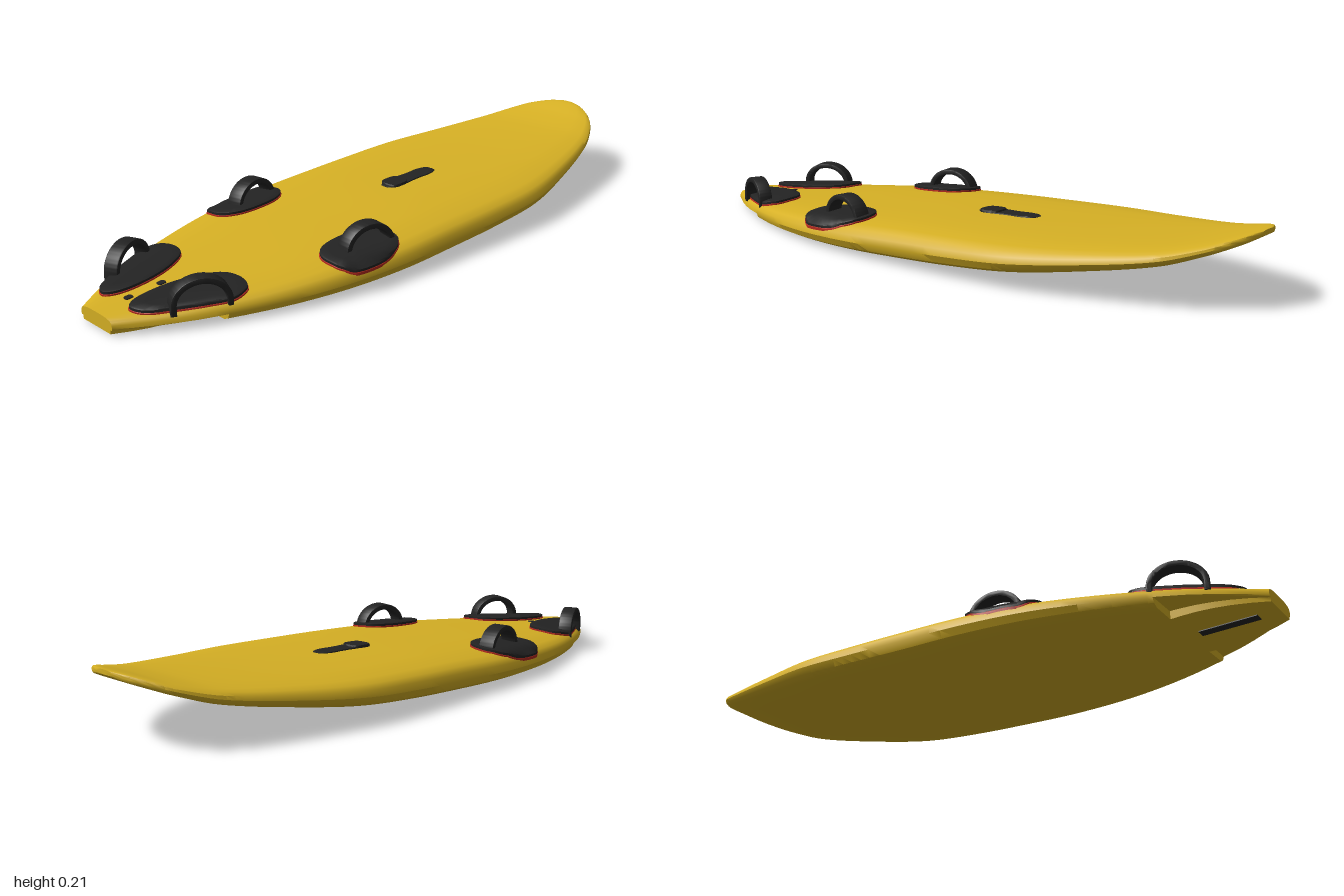
import * as THREE from 'three';
import { toCreasedNormals } from 'three/addons/utils/BufferGeometryUtils.js';

const material = (name, color, extra = {}) => {
  const m = new THREE.MeshStandardMaterial({ color, ...extra });
  m.name = name;
  return m;
};

// Hull stations from nose to tail: z, half width, bottom y, deck y
const STATIONS = [
  [-1, 0.03, 0.195, 0.208], [-0.985, 0.075, 0.184, 0.206], [-0.95, 0.13, 0.168, 0.196],
  [-0.9, 0.175, 0.148, 0.181], [-0.8, 0.228, 0.115, 0.161], [-0.6, 0.293, 0.078, 0.143],
  [-0.4, 0.342, 0.049, 0.132], [-0.2, 0.352, 0.031, 0.124], [0, 0.352, 0.019, 0.116],
  [0.2, 0.35, 0.011, 0.104], [0.4, 0.327, 0.006, 0.091], [0.6, 0.275, 0.003, 0.075],
  [0.8, 0.196, 0.003, 0.06], [0.9, 0.14, 0.003, 0.052], [1, 0.072, 0.003, 0.045],
];
// Half section from rail to deck centre: fraction of half width, fraction of height
const RAIL = [[0.9, 0.02], [0.97, 0.15], [1, 0.38], [0.988, 0.6], [0.945, 0.77],
  [0.86, 0.88], [0.6, 0.97], [0.3, 0.995], [0, 1]];
const CUT = 0.74; // where the tail cutouts begin

// Smooth interpolation between stations
function station(z) {
  const n = STATIONS.length;
  let i = 0;
  while (i < n - 2 && z > STATIONS[i + 1][0]) i++;
  const p = STATIONS[i], q = STATIONS[i + 1];
  const d = q[0] - p[0], u = (z - p[0]) / d;
  const slope = (k, c) => {
    const a = STATIONS[Math.max(k - 1, 0)], b = STATIONS[Math.min(k + 1, n - 1)];
    return (b[c] - a[c]) / (b[0] - a[0]);
  };
  const [w, b, t] = [1, 2, 3].map((c) =>
    p[c] * (2 * u ** 3 - 3 * u * u + 1) + q[c] * (3 * u * u - 2 * u ** 3) +
    d * (slope(i, c) * (u ** 3 - 2 * u * u + u) + slope(i + 1, c) * (u ** 3 - u * u)));
  return { w, b, t };
}

// Height of the deck at a point
function deckY(x, z) {
  const { w, b, t } = station(z);
  const u = Math.min(Math.abs(x) / w, 0.985);
  let i = 3;
  while (i < RAIL.length - 2 && u < RAIL[i + 1][0]) i++;
  const [p, q] = [RAIL[i], RAIL[i + 1]];
  const f = p[1] + (q[1] - p[1]) * (u - p[0]) / (q[0] - p[0]);
  return b + (t - b) * f;
}

function section(z) {
  const { w, b, t } = station(z);
  const k = Math.max(0, (z - CUT) / (1 - CUT));
  const step = z > CUT ? 0.38 - 0.1 * k : 0;
  const strip = 0.55 + 0.33 * k;
  const half = [[0, 0], [strip, 0], [strip + 0.01, step],
    ...RAIL.map(([x, y]) => [x, Math.max(y, step)])];
  const left = half.slice(1, -1).reverse().map(([x, y]) => [-x, y]);
  return [...half, ...left].map(([x, y]) => [x * w, b + (t - b) * y, z]);
}

function geometryFrom(pos, idx, crease) {
  const g = new THREE.BufferGeometry();
  g.setAttribute('position', new THREE.Float32BufferAttribute(pos.flat(), 3));
  g.setIndex(idx);
  return toCreasedNormals(g, crease);
}

function hullGeometry() {
  const zs = [CUT - 0.0005, CUT + 0.0005];
  for (let i = 0; i <= 64; i++) zs.push(-1 + 2 * (i / 64) ** 1.5);
  zs.sort((a, b) => a - b);
  const rings = zs.map(section), n = rings[0].length, last = rings.length - 1;
  const pos = rings.flat(), idx = [];
  for (let i = 0; i < last; i++) for (let j = 0; j < n; j++) {
    const a = i * n + j, b = i * n + (j + 1) % n;
    idx.push(a, b, b + n, a, b + n, a + n);
  }
  // nose and tail caps
  for (const [i, flip] of [[0, true], [last, false]]) {
    const { b, t } = station(zs[i]);
    const c = pos.push([0, (b + t) / 2, zs[i]]) - 1;
    for (let j = 0; j < n; j++) {
      const p = i * n + j, q = i * n + (j + 1) % n;
      idx.push(c, flip ? q : p, flip ? p : q);
    }
  }
  return geometryFrom(pos, idx, 0.65);
}

// A layer that follows the deck; outline is a closed list of [x, z]
function padGeometry(outline, low, high, scale = 1) {
  const cx = outline.reduce((s, p) => s + p[0], 0) / outline.length;
  const cz = outline.reduce((s, p) => s + p[1], 0) / outline.length;
  const rings = [[1, low], [1, high - 0.002], [0.96, high], [0.75, high], [0.5, high], [0.25, high], [0.001, high]];
  const n = outline.length, pos = [], idx = [];
  for (const [s, h] of rings) for (const [px, pz] of outline) {
    const x = cx + (px - cx) * s * scale, z = cz + (pz - cz) * s * scale;
    pos.push([x, deckY(x, z) + h, z]);
  }
  for (let i = 0; i < rings.length - 1; i++) for (let j = 0; j < n; j++) {
    const a = i * n + j, b = i * n + (j + 1) % n;
    idx.push(a, a + n, b + n, a, b + n, b);
  }
  return geometryFrom(pos, idx, 0.7);
}

const superEllipse = (x, z, rx, rz, e, n = 48) => Array.from({ length: n }, (_, i) => {
  const a = (i / n) * Math.PI * 2, c = Math.cos(a), s = Math.sin(a);
  return [x + rx * Math.sign(c) * Math.abs(c) ** e, z + rz * Math.sign(s) * Math.abs(s) ** e];
});

const smoothLoop = (pts, n = 56) =>
  new THREE.CatmullRomCurve3(pts.map(([x, z]) => new THREE.Vector3(x, 0, z)), true)
    .getPoints(n).slice(0, n).map((p) => [p.x, p.z]);

// Arched foot strap with legs running down into the pad
function strapGeometry(radius, height, width) {
  const th = 0.017, bevel = 0.004, r = radius - bevel, h = height - bevel;
  const ri = radius - th + bevel, hi = height - th + bevel, leg = -0.022;
  const s = new THREE.Shape();
  s.moveTo(r, leg);
  s.lineTo(r, 0);
  s.absellipse(0, 0, r, h, 0, Math.PI, false);
  s.lineTo(-r, leg);
  s.lineTo(-ri, leg);
  s.lineTo(-ri, 0);
  s.absellipse(0, 0, ri, hi, Math.PI, 0, true);
  s.lineTo(ri, leg);
  const depth = width - 2 * bevel;
  const g = new THREE.ExtrudeGeometry(s, { depth, curveSegments: 20,
    bevelThickness: bevel, bevelSize: bevel, bevelSegments: 2 });
  return toCreasedNormals(g.translate(0, 0, -depth / 2), 0.6);
}

export function createModel() {
  const root = new THREE.Group();
  root.name = 'sailboard';
  const yellow = material('board yellow', 0xd6b024);
  const black = material('rubber black', 0x232323);
  const red = material('pad edge red', 0xb52a1e);
  const add = (name, geometry, mat, parent = root) => {
    const m = new THREE.Mesh(geometry, mat);
    m.name = name;
    parent.add(m);
    return m;
  };

  add('hull', hullGeometry(), yellow);

  // Foot pads and straps, mirrored left and right
  const stands = [
    { name: 'middle', outline: superEllipse(0.257, 0.302, 0.082, 0.124, 0.8),
      strap: [0.083, 0.073, 0.05], at: [0.256, 0.092, 0.273], slant: 0.16 },
    { name: 'rear', outline: smoothLoop([[0.1, 0.655], [0.16, 0.643], [0.205, 0.66], [0.217, 0.71],
      [0.19, 0.78], [0.147, 0.86], [0.102, 0.925], [0.06, 0.94], [0.036, 0.91], [0.03, 0.82], [0.055, 0.72]]),
      strap: [0.084, 0.071, 0.045], at: [0.168, 0.064, 0.79], slant: 0.4 },
  ];
  for (const { name, outline, strap, at, slant } of stands) for (const s of [1, -1]) {
    const g = new THREE.Group();
    g.name = `${name}${s > 0 ? 'Left' : 'Right'}FootStand`;
    root.add(g);
    const shape = s > 0 ? outline : outline.map(([x, z]) => [-x, z]).reverse();
    add('padEdge', padGeometry(shape, -0.004, 0.006), red, g);
    add('pad', padGeometry(shape, 0.005, 0.014, 0.985), black, g);
    const band = add('footStrap', strapGeometry(...strap), black, g);
    band.position.set(at[0] * s, at[1], at[2]);
    band.rotation.y = -(Math.PI / 2 + s * slant);
  }

  // Mast track with its raised base plate
  const track = superEllipse(0, -0.163, 0.032, 0.108, 0.6)
    .map(([x, z]) => [x * (1 - 0.15 * Math.exp(-(((z + 0.18) / 0.03) ** 2))), z]);
  add('mastTrack', padGeometry(track, -0.003, 0.003), black);
  add('mastBase', padGeometry(superEllipse(0, -0.1, 0.034, 0.036, 0.6), 0, 0.008), black);

  // Deck plugs
  for (const z of [0.795, 0.9])
    add('deckPlug', padGeometry(superEllipse(0, z, 0.01, 0.012, 0.5, 24), -0.002, 0.003), black);

  // Fin slot under the tail
  add('finSlot', new THREE.BoxGeometry(0.03, 0.004, 0.17).translate(0, 0.002, 0.855), black);
  return root;
}
